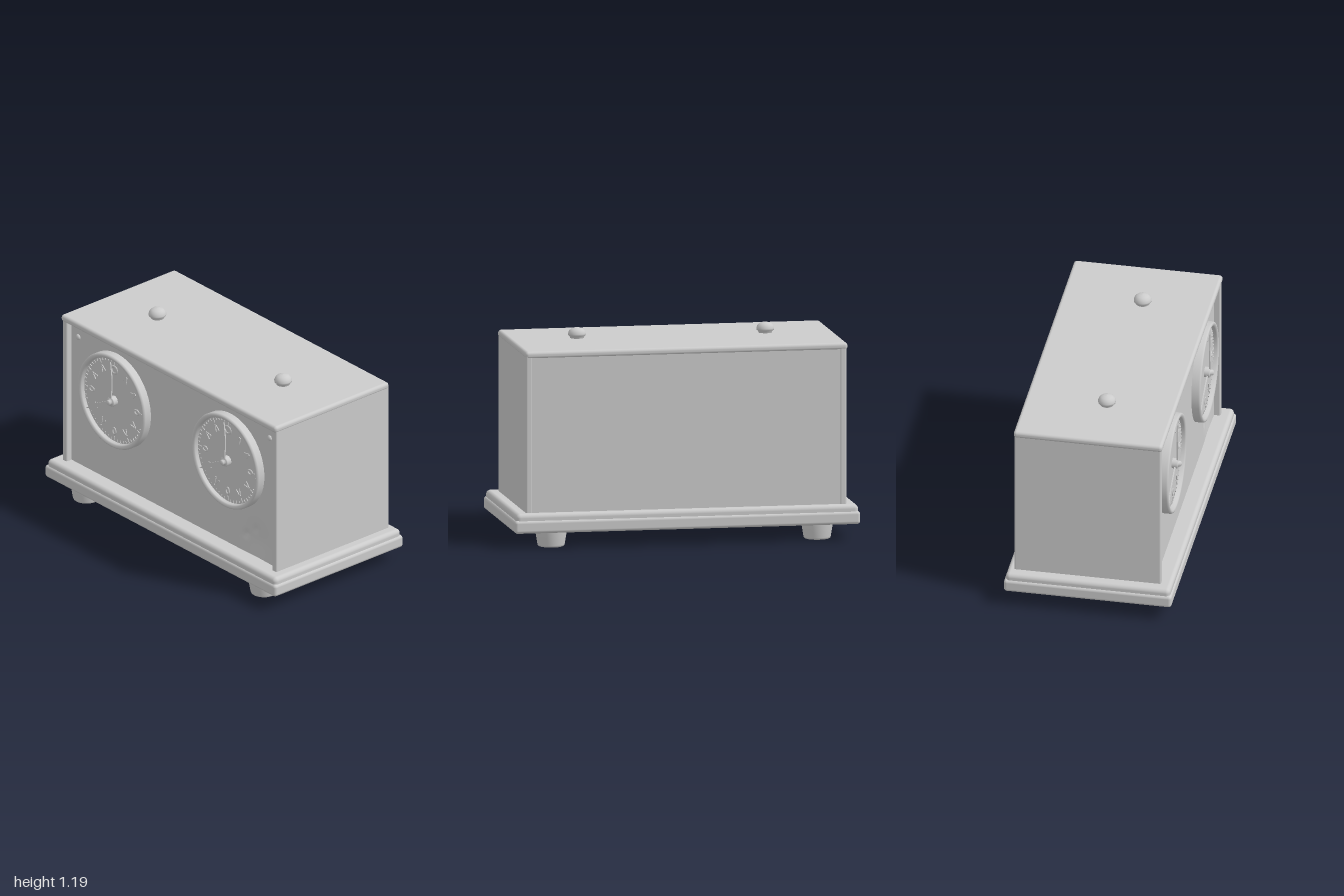
import * as THREE from 'three';
import { RoundedBoxGeometry } from 'three/addons/geometries/RoundedBoxGeometry.js';

const material = new THREE.MeshStandardMaterial({ color: 0xcccccc });

function add(parent, name, geometry, x = 0, y = 0, z = 0) {
  const mesh = new THREE.Mesh(geometry, material);
  mesh.name = name;
  mesh.position.set(x, y, z);
  parent.add(mesh);
  return mesh;
}

// Rounded box given by its extents on each axis
function slab(parent, name, [x0, x1], [y0, y1], [z0, z1], radius) {
  const geometry = new RoundedBoxGeometry(x1 - x0, y1 - y0, z1 - z0, 4, radius);
  return add(parent, name, geometry, (x0 + x1) / 2, (y0 + y1) / 2, (z0 + z1) / 2);
}

function lathe(points, segments = 48) {
  return new THREE.LatheGeometry(points.map(([r, y]) => new THREE.Vector2(r, y)), segments);
}

// Front panel with a shallow worn hollow in its lower corner
function panelGeometry() {
  const geometry = new THREE.PlaneGeometry(1.8, 0.91, 90, 46);
  const p = geometry.attributes.position;
  const dents = [[0.72, -0.33, 0.1, 0.012], [0.62, -0.33, 0.018, 0.015], [0.7, -0.27, 0.015, 0.01]];
  for (let i = 0; i < p.count; i++) {
    let z = 0;
    for (const [x, y, r, depth] of dents) {
      const d = Math.hypot(p.getX(i) - x, p.getY(i) - y) / r;
      z -= depth * Math.exp(-d * d);
    }
    p.setZ(i, z);
  }
  geometry.computeVertexNormals();
  return geometry;
}

// Tapered hand lying in the dial plane, pointing up before rotation
function handGeometry(length) {
  const shape = new THREE.Shape();
  shape.moveTo(-0.008, 0);
  shape.lineTo(-0.013, length * 0.6);
  shape.lineTo(0, length);
  shape.lineTo(0.013, length * 0.6);
  shape.lineTo(0.008, 0);
  return new THREE.ExtrudeGeometry(shape, { depth: 0.008, bevelEnabled: false });
}

function createDial() {
  const dial = new THREE.Group();
  dial.name = 'dial';

  const rim = add(dial, 'dialRim', lathe([
    [0.29, -0.01], [0.29, 0.04], [0.286, 0.049], [0.278, 0.052],
    [0.268, 0.049], [0.262, 0.042], [0.26, 0.015],
  ], 72));
  rim.rotation.x = Math.PI / 2;
  const face = add(dial, 'dialFace', new THREE.CylinderGeometry(0.265, 0.265, 0.03, 64), 0, 0, 0.008);
  face.rotation.x = Math.PI / 2;

  // Minute ticks and raised hour markers
  for (let i = 0; i < 60; i++) {
    const a = (i / 60) * Math.PI * 2;
    const hour = i % 5 === 0;
    const length = hour ? 0.028 : 0.014;
    const r = 0.256 - length / 2;
    const tick = add(dial, 'minuteTick', new THREE.BoxGeometry(hour ? 0.007 : 0.004, length, 0.006),
      Math.sin(a) * r, Math.cos(a) * r, 0.024);
    tick.rotation.z = -a;
  }
  for (let h = 0; h < 12; h++) {
    const a = (h / 12) * Math.PI * 2;
    const marker = new THREE.Group();
    marker.name = 'hourMarker';
    marker.position.set(Math.sin(a) * 0.195, Math.cos(a) * 0.195, 0.024);
    marker.rotation.z = -a;
    dial.add(marker);
    if (h % 3 === 0) {
      const ring = add(marker, 'markerRing', new THREE.TorusGeometry(0.017, 0.005, 6, 20));
      if (h) ring.scale.set(0.8, 1.15, 1);
      else ring.scale.set(1.5, 1.3, 1);
    } else {
      for (const s of [-1, 1]) {
        const bar = add(marker, 'markerBar', new THREE.BoxGeometry(0.007, 0.042, 0.008), s * 0.009, 0, 0);
        bar.rotation.z = s * 0.35;
      }
    }
  }

  // Hands at eight o'clock on a domed hub
  add(dial, 'minuteHand', handGeometry(0.255), 0, 0, 0.048);
  add(dial, 'hourHand', handGeometry(0.26), 0, 0, 0.038).rotation.z = Math.PI * 2 / 3;
  const hub = add(dial, 'handHub', lathe([
    [0.03, 0.015], [0.03, 0.05], [0.026, 0.056], [0.016, 0.056],
    [0.016, 0.069], [0.011, 0.075], [0, 0.076],
  ], 24));
  hub.rotation.x = Math.PI / 2;
  return dial;
}

export function createModel() {
  const clock = new THREE.Group();
  clock.name = 'chessClock';

  // Moulded base
  slab(clock, 'baseLower', [-1, 1], [0.09, 0.165], [-0.485, 0.485], 0.018);
  slab(clock, 'baseUpper', [-0.99, 0.99], [0.12, 0.203], [-0.476, 0.476], 0.025);

  // Case with the front set back between the walls and lid
  slab(clock, 'caseCore', [-0.91, 0.91], [0.18, 1.11], [-0.435, 0.355], 0.01);
  for (const s of [-1, 1]) {
    slab(clock, 'sideWall', s < 0 ? [-0.928, -0.89] : [0.89, 0.928], [0.18, 1.11], [-0.437, 0.413], 0.01);
  }
  slab(clock, 'lid', [-0.935, 0.93], [1.088, 1.13], [-0.44, 0.42], 0.018);
  add(clock, 'frontPanel', panelGeometry(), 0, 0.645, 0.375);

  // Left-right pairs: dials, panel screws, push buttons, feet
  const button = lathe([
    [0.038, -0.01], [0.04, 0.008], [0.05, 0.016], [0.051, 0.026],
    [0.045, 0.042], [0.033, 0.053], [0.017, 0.059], [0, 0.061],
  ], 32);
  const foot = lathe([
    [0, 0], [0.068, 0], [0.075, 0.004], [0.078, 0.012], [0.09, 0.085], [0.09, 0.11],
  ], 40);
  for (const s of [-1, 1]) {
    const dial = createDial();
    dial.position.set(s * 0.492, 0.745, 0.375);
    clock.add(dial);

    const screw = add(clock, 'panelScrew', new THREE.SphereGeometry(0.018, 16, 10), s * 0.83, 1.01, 0.375);
    screw.scale.z = 0.7;
    add(clock, 'pushButton', button, s * 0.545, 1.13, 0.028);
    for (const z of [-0.367, 0.367]) add(clock, 'foot', foot, s * 0.77, 0, z);
  }
  return clock;
}
